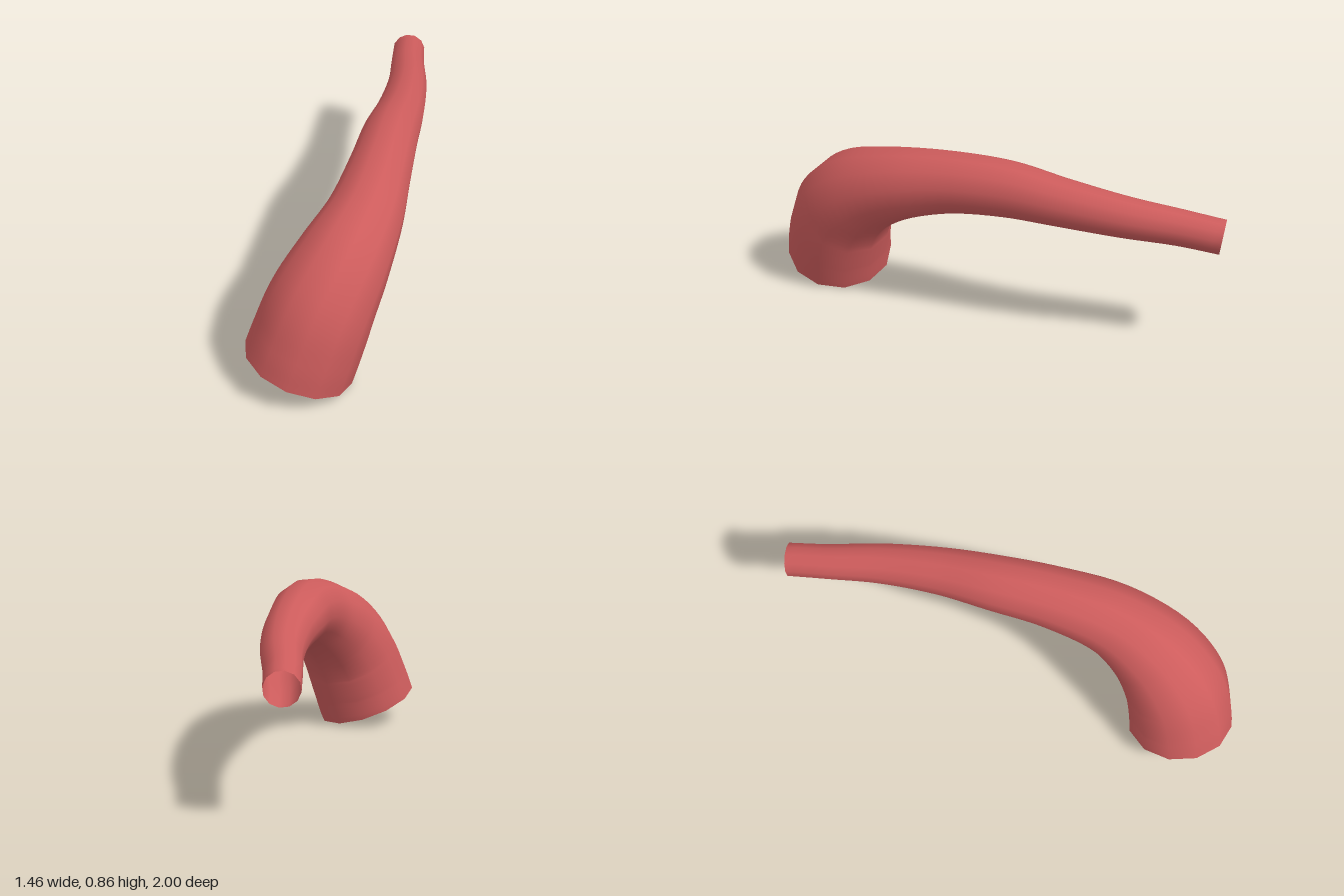
import * as THREE from 'three';

// centre line and radius of the tapering hollow horn: x, y, z, r
const STATIONS = [
  [-0.484, 0.097, 0.735, 0.265],
  [-0.44, 0.22, 0.733, 0.262],
  [-0.365, 0.39, 0.71, 0.252],
  [-0.24, 0.54, 0.63, 0.225],
  [-0.08, 0.65, 0.47, 0.185],
  [0.08, 0.713, 0.22, 0.155],
  [0.22, 0.726, -0.03, 0.139],
  [0.355, 0.705, -0.26, 0.119],
  [0.485, 0.672, -0.53, 0.101],
  [0.577, 0.642, -0.78, 0.088],
  [0.652, 0.615, -0.966, 0.084],
];
const SIDES = 12;
const RINGS = 50;

// sweep a ring along the path, carrying its frame without twist
function hornGeometry() {
  const path = new THREE.CatmullRomCurve3(STATIONS.map(([x, y, z]) => new THREE.Vector3(x, y, z)));
  const radius = new THREE.CatmullRomCurve3(
    STATIONS.map((s, i) => new THREE.Vector3(i, s[3], 0)), false, 'catmullrom');
  const positions = [];
  const index = [];
  const normal = new THREE.Vector3(0, 0, 1);
  for (let i = 0; i <= RINGS; i++) {
    const t = i / RINGS;
    const centre = path.getPoint(t);
    const tangent = i === 0 ? new THREE.Vector3(0.35, 0.936, 0).normalize() : path.getTangent(t);
    normal.addScaledVector(tangent, -normal.dot(tangent)).normalize();
    const side = new THREE.Vector3().crossVectors(tangent, normal);
    const r = radius.getPoint(t).y;
    for (let j = 0; j < SIDES; j++) {
      const a = (j / SIDES) * Math.PI * 2;
      const p = centre.clone()
        .addScaledVector(normal, Math.cos(a) * r)
        .addScaledVector(side, Math.sin(a) * r);
      positions.push(p.x, p.y, p.z);
      if (i < RINGS) {
        const k = (j + 1) % SIDES;
        const a0 = i * SIDES + j, b0 = i * SIDES + k;
        index.push(a0, b0, a0 + SIDES, b0, b0 + SIDES, a0 + SIDES);
      }
    }
  }
  const geometry = new THREE.BufferGeometry();
  geometry.setAttribute('position', new THREE.Float32BufferAttribute(positions, 3));
  geometry.setIndex(index);
  geometry.computeVertexNormals();
  return geometry;
}

export function createModel() {
  const group = new THREE.Group();
  group.name = 'curvedHorn';
  // open at both ends, so the inside shows too
  const red = new THREE.MeshStandardMaterial({ color: 0xcd5c5c, side: THREE.DoubleSide });
  red.name = 'softRed';
  const horn = new THREE.Mesh(hornGeometry(), red);
  horn.name = 'hornTube';
  group.add(horn);
  return group;
}
